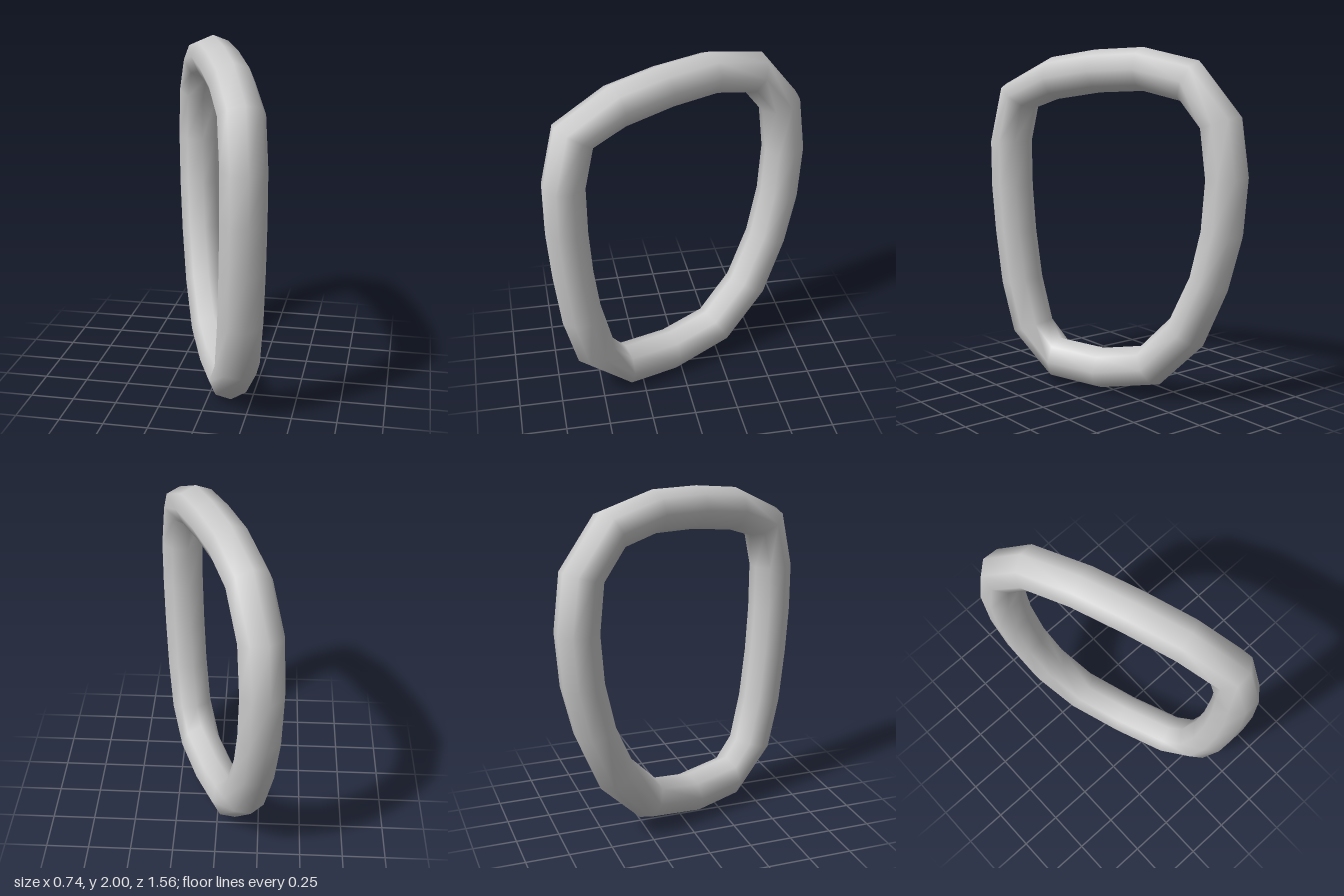
import * as THREE from 'three';

const SIDES = 8;
const HALF_WIDTH = 0.125; // tube radius across the plane of the loop
const SLOPE = 0.381; // the loop's upright plane: x = SLOPE * z

// Stations round the loop: outer z, outer y, inner z, inner y
const STATIONS = [
  [0.783, 1.44, 0.555, 1.44], [0.70, 1.78, 0.51, 1.64], [0.39, 1.94, 0.35, 1.70],
  [0.11, 1.985, 0.08, 1.745], [-0.18, 2.0, -0.18, 1.76], [-0.50, 1.93, -0.405, 1.71],
  [-0.735, 1.64, -0.52, 1.565], [-0.78, 1.31, -0.55, 1.30], [-0.755, 0.99, -0.53, 1.03],
  [-0.68, 0.69, -0.47, 0.76], [-0.545, 0.36, -0.35, 0.49], [-0.29, 0.09, -0.175, 0.30],
  [0.075, 0.005, 0.06, 0.25], [0.365, 0.02, 0.35, 0.265], [0.64, 0.28, 0.43, 0.36],
  [0.72, 0.58, 0.495, 0.62], [0.76, 0.90, 0.533, 0.90], [0.782, 1.17, 0.552, 1.17],
];

// Closed tube with an eight-sided section spanning each outer/inner pair
function loopGeometry() {
  const positions = [];
  const index = [];
  const normal = new THREE.Vector3(1, 0, -SLOPE).normalize().multiplyScalar(HALF_WIDTH);
  const inPlane = (z, y) => new THREE.Vector3(SLOPE * z, y, z);
  const count = STATIONS.length;

  STATIONS.forEach(([oz, oy, iz, iy], i) => {
    const outer = inPlane(oz, oy);
    const centre = outer.clone().add(inPlane(iz, iy)).multiplyScalar(0.5);
    const reach = outer.sub(centre);
    for (let j = 0; j < SIDES; j++) {
      const a = (j / SIDES) * Math.PI * 2;
      const p = centre.clone()
        .addScaledVector(reach, Math.cos(a))
        .addScaledVector(normal, Math.sin(a));
      positions.push(p.x, p.y, p.z);

      const next = ((i + 1) % count) * SIDES;
      const k = (j + 1) % SIDES;
      const here = i * SIDES;
      index.push(here + j, here + k, next + k, here + j, next + k, next + j);
    }
  });

  const geometry = new THREE.BufferGeometry();
  geometry.setAttribute('position', new THREE.Float32BufferAttribute(positions, 3));
  geometry.setIndex(index);
  geometry.computeVertexNormals();
  return geometry;
}

export function createModel() {
  const group = new THREE.Group();
  group.name = 'ring';
  const loop = new THREE.Mesh(
    loopGeometry(),
    new THREE.MeshStandardMaterial({ color: 0xcccccc })
  );
  loop.name = 'loop';
  group.add(loop);
  return group;
}
